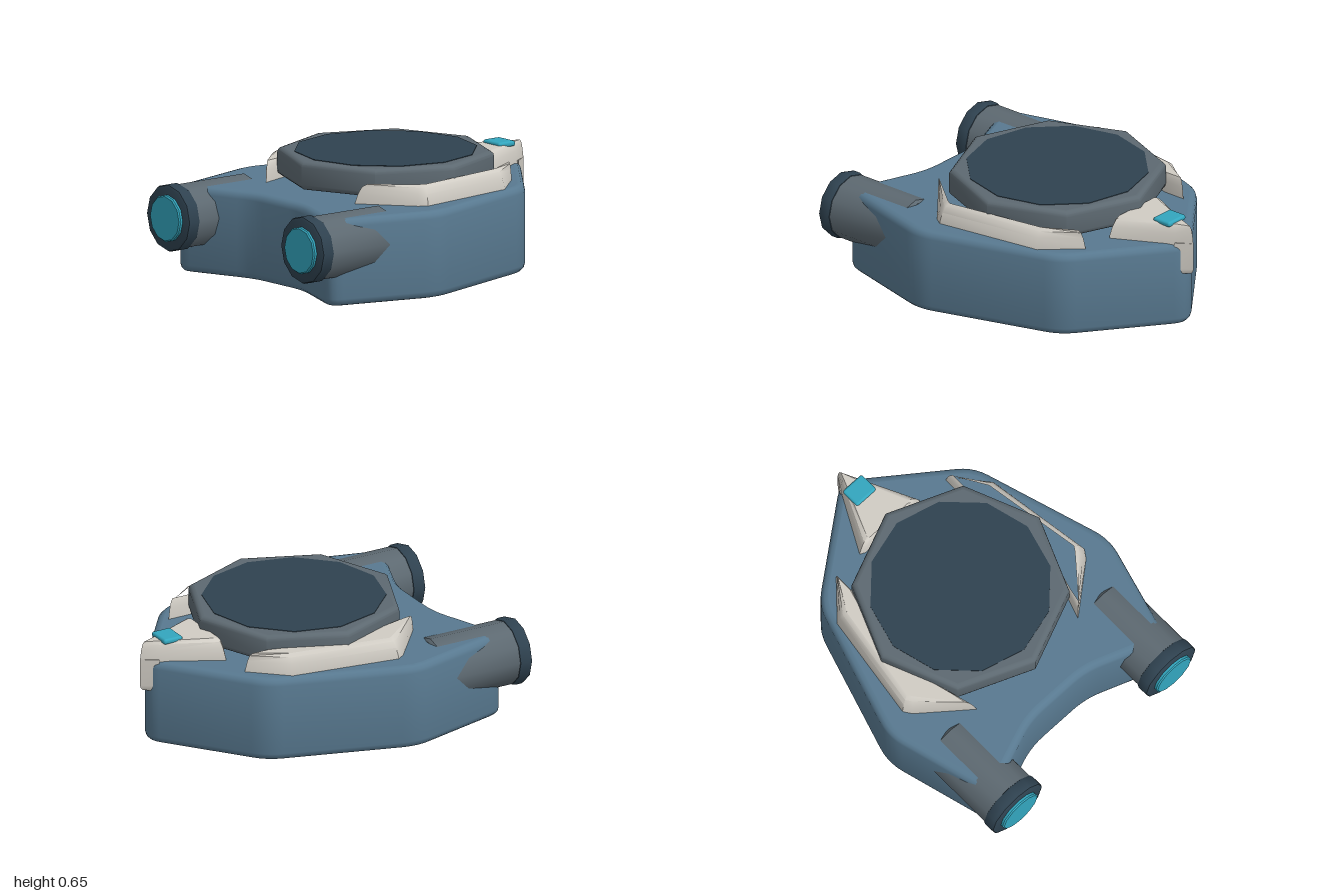
import * as THREE from 'three';
import { toCreasedNormals } from 'three/addons/utils/BufferGeometryUtils.js';
import { RoundedBoxGeometry } from 'three/addons/geometries/RoundedBoxGeometry.js';

const paint = (color) => new THREE.MeshStandardMaterial({ color });
const BLUE = paint(0x587990), STEEL = paint(0x5d6971), DARK = paint(0x2f4250);
const LIGHT = paint(0xd0ccc4), TEAL = paint(0x33a6be);

function add(parent, name, geometry, material) {
  const mesh = new THREE.Mesh(geometry, material);
  mesh.name = name;
  parent.add(mesh);
  return mesh;
}

// Smooth the soft edges but keep the horizontal caps perfectly flat
function soften(geometry, crease) {
  const g = toCreasedNormals(geometry, crease);
  const p = g.attributes.position, n = g.attributes.normal;
  const t = new THREE.Triangle(), v = new THREE.Vector3();
  for (let i = 0; i < p.count; i += 3) {
    t.setFromAttributeAndIndices(p, i, i + 1, i + 2).getNormal(v);
    if (Math.abs(v.y) > 0.999) for (let k = 0; k < 3; k++) n.setXYZ(i + k, v.x, v.y, v.z);
  }
  return g;
}

// Outline of [x, z] corners, each rounded over distance r
function roundedShape(points, r) {
  const pts = points.map(([x, z]) => new THREE.Vector2(x, -z));
  const shape = new THREE.Shape();
  pts.forEach((p, i) => {
    const toward = (q) => p.clone().add(q.clone().sub(p).setLength(r));
    const a = toward(pts[(i + pts.length - 1) % pts.length]);
    const b = toward(pts[(i + 1) % pts.length]);
    if (r === 0) return i ? shape.lineTo(p.x, p.y) : shape.moveTo(p.x, p.y);
    if (i) shape.lineTo(a.x, a.y); else shape.moveTo(a.x, a.y);
    shape.quadraticCurveTo(p.x, p.y, b.x, b.y);
  });
  shape.closePath();
  return shape;
}

// Upright slab between two heights with rounded rims
function slab(shape, y0, y1, bevel, crease) {
  const g = new THREE.ExtrudeGeometry(shape, {
    depth: y1 - y0 - 2 * bevel, bevelThickness: bevel, bevelSize: bevel,
    bevelOffset: -bevel, bevelSegments: 3, curveSegments: 5,
  });
  g.rotateX(-Math.PI / 2).translate(0, y0 + bevel, 0);
  return soften(g, crease);
}

// Solid that blends from a base outline to a top outline; steps are [height, blend]
function loft(base, top, steps, mirror = 1) {
  const pos = [], index = [], n = base.length;
  for (const [y, t] of steps)
    base.forEach(([x, z], i) =>
      pos.push(mirror * (x + (top[i][0] - x) * t), y, z + (top[i][1] - z) * t));
  const flip = THREE.ShapeUtils.isClockWise(base.map(([x, z]) => new THREE.Vector2(mirror * x, -z)));
  const face = (a, b, c) => (flip ? index.push(a, c, b) : index.push(a, b, c));
  for (let s = 0; s < steps.length - 1; s++)
    for (let i = 0; i < n; i++) {
      const a = s * n + i, b = s * n + (i + 1) % n;
      face(a, b, b + n);
      face(a, b + n, a + n);
    }
  // Caps; triangulation follows the outline's own direction
  const last = (steps.length - 1) * n;
  const contour = (o) => o.map(([x, z]) => new THREE.Vector2(mirror * x, -z));
  for (const [a, b, c] of THREE.ShapeUtils.triangulateShape(contour(top), []))
    face(last + a, last + b, last + c);
  for (const [a, b, c] of THREE.ShapeUtils.triangulateShape(contour(base), []))
    face(c, b, a);
  const g = new THREE.BufferGeometry();
  g.setAttribute('position', new THREE.Float32BufferAttribute(pos, 3));
  g.setIndex(index);
  return soften(g, 0.7);
}

// Twelve-sided turned part along z from [radius, z] points
function turned(profile) {
  const g = new THREE.LatheGeometry(profile.map(([r, z]) => new THREE.Vector2(r, z)), 12);
  return toCreasedNormals(g.rotateX(Math.PI / 2), 0.7);
}

const ROUND_TOP = [[0.44, 0], [0.48, 0.03], [0.53, 0.3], [0.562, 0.6], [0.577, 1]];

export function createModel() {
  const model = new THREE.Group();
  model.name = 'device';

  // Hull: pointed at the back, notched between the two front prongs
  const half = [[0.565, -0.55], [0.81, 0.24], [0.64, 0.865], [0.2, 0.7]];
  const outline = [[0, -0.98], ...half, ...half.map(([x, z]) => [-x, z]).reverse()];
  add(model, 'hull', slab(roundedShape(outline.reverse(), 0.09), 0, 0.47, 0.04, 0.7), BLUE);

  // Octagonal dial with a dark twelve-sided face
  const octagon = [];
  for (let i = 0; i < 8; i++) {
    const a = (i * Math.PI) / 4;
    octagon.push([0.577 * Math.cos(a), -0.055 - 0.577 * Math.sin(a)]);
  }
  add(model, 'dialRing', slab(roundedShape(octagon, 0), 0.493, 0.645, 0.028, 0.8), STEEL);
  const face = add(model, 'dialFace', new THREE.CylinderGeometry(0.49, 0.49, 0.04, 12), DARK);
  face.position.set(0, 0.628, -0.055);

  // Crescent guards and front nozzles, one of each per side
  const guardBase = [[0.4, -0.59], [0.575, -0.4], [0.665, 0.2], [0.635, 0.245], [0.37, 0.46],
    [0.41, 0.34], [0.53, -0.05], [0.4, -0.46]];
  const guardTop = [[0.42, -0.555], [0.52, -0.38], [0.61, 0.175], [0.59, 0.205], [0.415, 0.415],
    [0.43, 0.34], [0.535, -0.05], [0.42, -0.46]];
  for (const [side, label] of [[1, 'left'], [-1, 'right']]) {
    add(model, label + 'Guard', loft(guardBase, guardTop, ROUND_TOP, side), LIGHT);

    const nozzle = new THREE.Group();
    nozzle.name = label + 'Nozzle';
    nozzle.position.set(side * 0.56, 0.314, 0);
    model.add(nozzle);
    add(nozzle, 'barrel', turned([[0, 0.44], [0.16, 0.44], [0.175, 0.455], [0.175, 0.92]]), STEEL);
    add(nozzle, 'collar', turned([[0, 0.9], [0.165, 0.9], [0.178, 0.906], [0.183, 0.92],
      [0.183, 0.96], [0.178, 0.974], [0.165, 0.98], [0, 0.98]]), DARK);
    add(nozzle, 'lens', turned([[0.127, 0.97], [0.127, 0.993], [0.12, 1], [0, 1]]), TEAL);
  }

  // Back cap with a hook folding down over the hull's point
  const capBase = [[0, -1], [-0.055, -0.91], [-0.22, -0.6], [-0.19, -0.585],
    [0.19, -0.585], [0.22, -0.6], [0.055, -0.91]];
  const capTop = [[0, -0.975], [-0.025, -0.91], [-0.15, -0.615], [-0.14, -0.605],
    [0.14, -0.605], [0.15, -0.615], [0.025, -0.91]];
  add(model, 'backCap', loft(capBase, capTop, ROUND_TOP), LIGHT);
  const hookOuter = [[0, -1], [-0.06, -0.915], [0.06, -0.915]];
  const hookInner = [[0, -0.98], [-0.045, -0.925], [0.045, -0.925]];
  add(model, 'backHook', loft(hookOuter, hookInner,
    [[0.3, 0.9], [0.315, 0.2], [0.33, 0], [0.48, 0]]), LIGHT);

  // Small coloured key on the back cap
  const key = add(model, 'backKey', new RoundedBoxGeometry(0.14, 0.03, 0.115, 3, 0.013), TEAL);
  key.position.set(0, 0.578, -0.833);

  return model;
}
